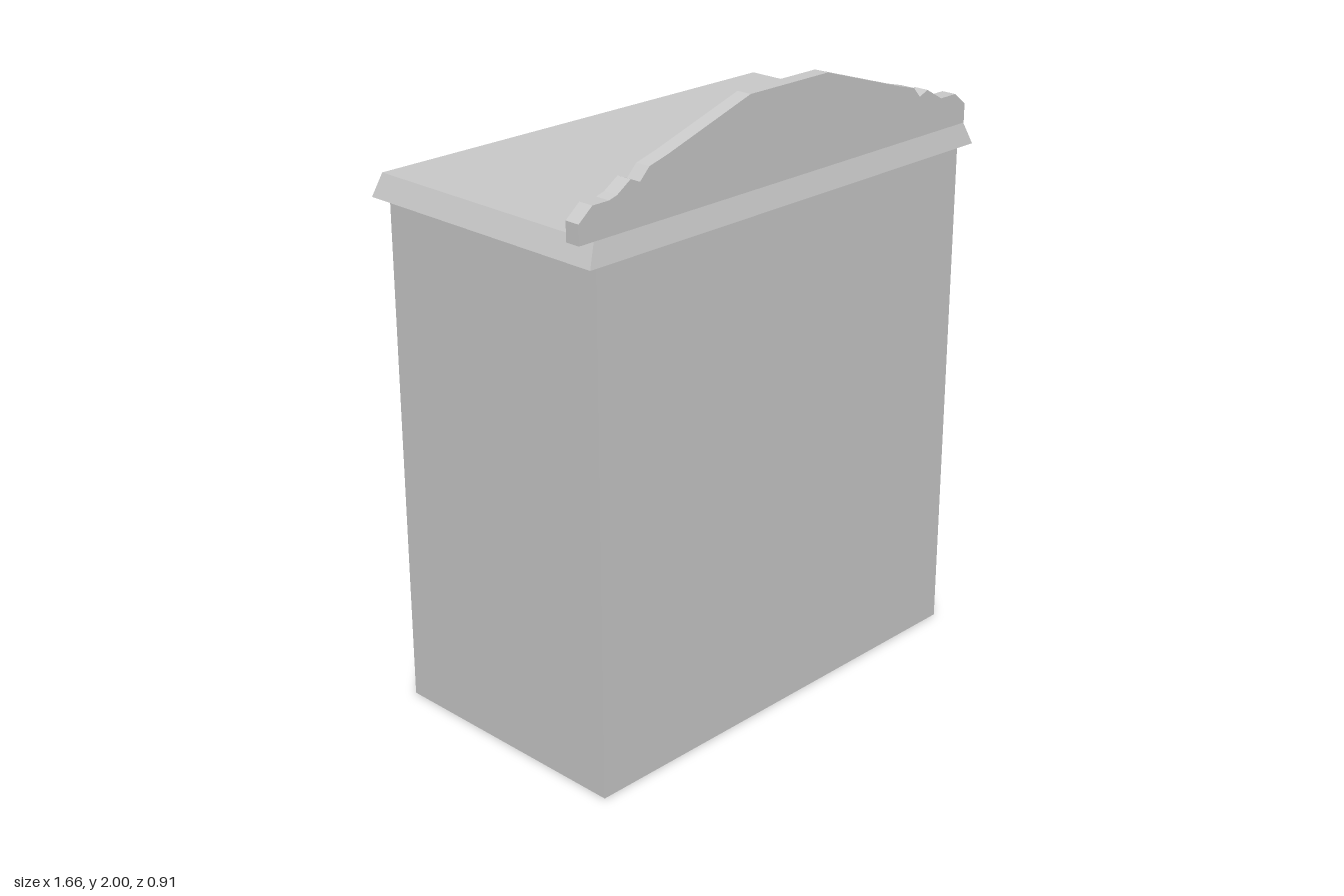
import * as THREE from 'three';

const material = new THREE.MeshStandardMaterial({ color: 0xcccccc, flatShading: true });

export function createModel() {
  const model = new THREE.Group();

  const add = (name, geometry) => {
    const mesh = new THREE.Mesh(geometry, material);
    mesh.name = name;
    model.add(mesh);
    return mesh;
  };

  // Box given by its limits on each axis
  const block = (name, x0, x1, y0, y1, z0, z1) => {
    const mesh = add(name, new THREE.BoxGeometry(x1 - x0, y1 - y0, z1 - z0));
    mesh.position.set((x0 + x1) / 2, (y0 + y1) / 2, (z0 + z1) / 2);
    return mesh;
  };

  const left = 0.785, right = -0.765, top = 1.655, face = -0.43;
  const stile = 0.055, railFace = -0.415, recess = -0.372;
  const inL = left - stile, inR = right + stile;

  // Cabinet body and the frame around the drawer opening
  block('cabinetBody', right, left, 0, top, recess, 0.43);
  block('leftStile', inL, left, 0, top, face, recess);
  block('rightStile', right, inR, 0, top, face, recess);
  block('bottomRail', inR, inL, 0, 0.1, face, recess);
  block('topRail', inR, inL, 1.605, top, railFace, recess);

  // Six recessed drawers with rails between them
  const opening = 0.215, rail = 0.043, gap = 0.008;
  for (let i = 0; i < 6; i++) {
    const y = 0.1 + i * (opening + rail);
    block('drawerFront', inR + gap, inL - gap, y + gap, y + opening - gap, -0.382, recess);
    if (i < 5) block('drawerRail', inR, inL, y + opening, y + opening + rail, railFace, recess);
  }

  // Tabletop: a slab that tapers inwards towards its upper face
  const slab = new THREE.BoxGeometry(1, 1, 1);
  const p = slab.attributes.position;
  for (let i = 0; i < p.count; i++) {
    const upper = p.getY(i) > 0;
    const x = p.getX(i) > 0 ? (upper ? 0.8 : 0.83) : (upper ? -0.78 : -0.81);
    const z = p.getZ(i) > 0 ? (upper ? 0.437 : 0.453) : (upper ? -0.44 : -0.455);
    p.setXYZ(i, x, upper ? 1.72 : 1.65, z);
  }
  slab.computeVertexNormals();
  add('tabletop', slab);

  // Scalloped upright board
  const outline = [
    [-0.835, 1.72], [0.8, 1.72], [0.8, 1.78], [0.75, 1.82], [0.68, 1.82], [0.61, 1.86],
    [0.575, 1.845], [0.545, 1.878], [0.48, 1.895], [0.145, 2], [-0.18, 2], [-0.5, 1.9],
    [-0.575, 1.88], [-0.61, 1.845], [-0.645, 1.86], [-0.695, 1.828], [-0.725, 1.82],
    [-0.785, 1.82], [-0.835, 1.78],
  ].map(([x, y]) => new THREE.Vector2(x, y));
  const board = new THREE.ExtrudeGeometry(new THREE.Shape(outline), { depth: 0.049, bevelEnabled: false });
  add('uprightBoard', board).position.z = 0.39;

  return model;
}
